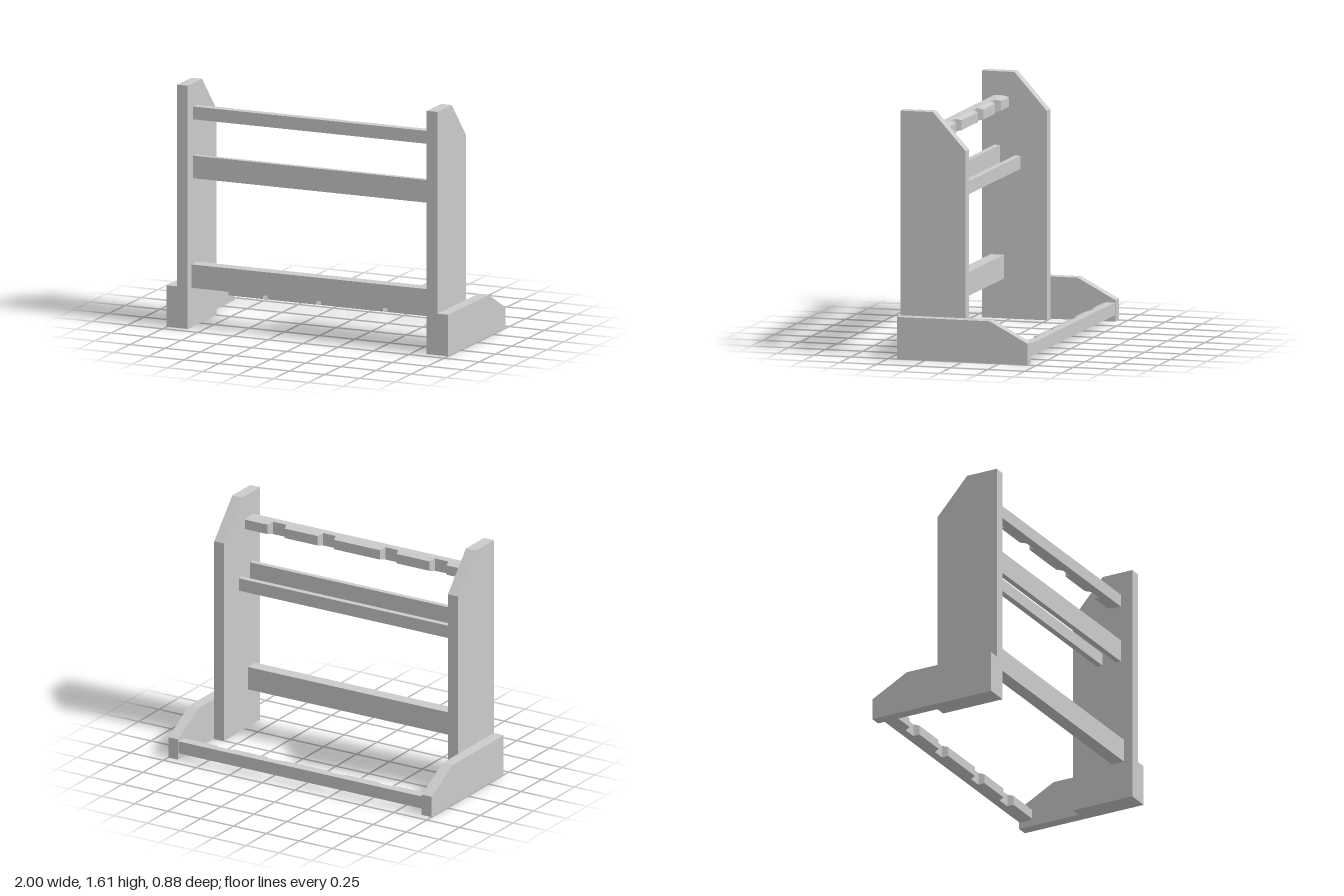
import * as THREE from 'three';

const material = new THREE.MeshStandardMaterial({ color: 0xcccccc, flatShading: true });

function add(parent, name, geometry) {
  const mesh = new THREE.Mesh(geometry, material);
  mesh.name = name;
  parent.add(mesh);
  return mesh;
}

// Board cut from a [z, y] outline, spanning x0 to x1
function board(outline, x0, x1) {
  const shape = new THREE.Shape(outline.map(([z, y]) => new THREE.Vector2(z, y)));
  const geometry = new THREE.ExtrudeGeometry(shape, { depth: x1 - x0, bevelEnabled: false });
  return geometry.rotateY(-Math.PI / 2).translate(x1, 0, 0);
}

// Box given by its limits on each axis
function box(x0, x1, y0, y1, z0, z1) {
  return new THREE.BoxGeometry(x1 - x0, y1 - y0, z1 - z0)
    .translate((x0 + x1) / 2, (y0 + y1) / 2, (z0 + z1) / 2);
}

// Spacer block that tapers from its base at zBase to its face at zFace;
// ends that meet a side board stay square
function spacer(x0, x1, y0, y1, zBase, zFace, end) {
  const geometry = box(x0, x1, y0, y1, Math.min(zBase, zFace), Math.max(zBase, zFace));
  const p = geometry.attributes.position;
  const xm = (x0 + x1) / 2, ym = (y0 + y1) / 2;
  for (let i = 0; i < p.count; i++) {
    if (Math.abs(p.getZ(i) - zFace) > 1e-4) continue;
    const x = p.getX(i), y = p.getY(i);
    if (Math.abs(x) < end - 1e-4) p.setX(i, x - Math.sign(x - xm) * 0.015);
    p.setY(i, y - Math.sign(y - ym) * 0.01);
  }
  geometry.computeVertexNormals();
  return geometry;
}

// Rail with a row of five spacer blocks forming four slots
function slottedRail(name, end, y0, y1, z0, z1, zBase, zFace) {
  const rail = new THREE.Group();
  rail.name = name;
  add(rail, 'railBar', box(-end, end, y0, y1, z0, z1));
  const spans = [[-end, -0.665], [-0.565, -0.285], [-0.19, 0.19], [0.285, 0.565], [0.665, end]];
  for (const [a, b] of spans) add(rail, 'spacerBlock', spacer(a, b, y0, y1, zBase, zFace, end));
  return rail;
}

export function createModel() {
  const group = new THREE.Group();
  group.name = 'rack';

  // Side uprights and feet
  const upright = [[0, 0], [0.44, 0], [0.44, 1.61], [0.22, 1.61], [0, 1.365]];
  const foot = [[-0.44, 0], [0.44, 0], [0.44, 0.275], [-0.185, 0.275], [-0.44, 0.14]];
  for (const [side, s] of [['left', 1], ['right', -1]]) {
    const span = (a, b) => (s > 0 ? [a, b] : [-b, -a]);
    add(group, side + 'Upright', board(upright, ...span(0.85, 0.925)));
    add(group, side + 'Foot', board(foot, ...span(0.925, 1)));
  }

  // Plain cross rails
  add(group, 'lowerRail', box(-0.85, 0.85, 0.26, 0.415, 0.29, 0.38));
  add(group, 'middleFrontRail', box(-0.85, 0.85, 0.98, 1.13, 0.318, 0.355));
  add(group, 'middleBackRail', box(-0.85, 0.85, 0.98, 1.065, 0.18, 0.22));

  // Slotted rails facing each other
  group.add(slottedRail('topSlottedRail', 0.85, 1.37, 1.455, 0.3, 0.355, 0.3, 0.258));
  group.add(slottedRail('footSlottedRail', 0.925, 0.042, 0.125, -0.435, -0.38, -0.38, -0.345));

  return group;
}
